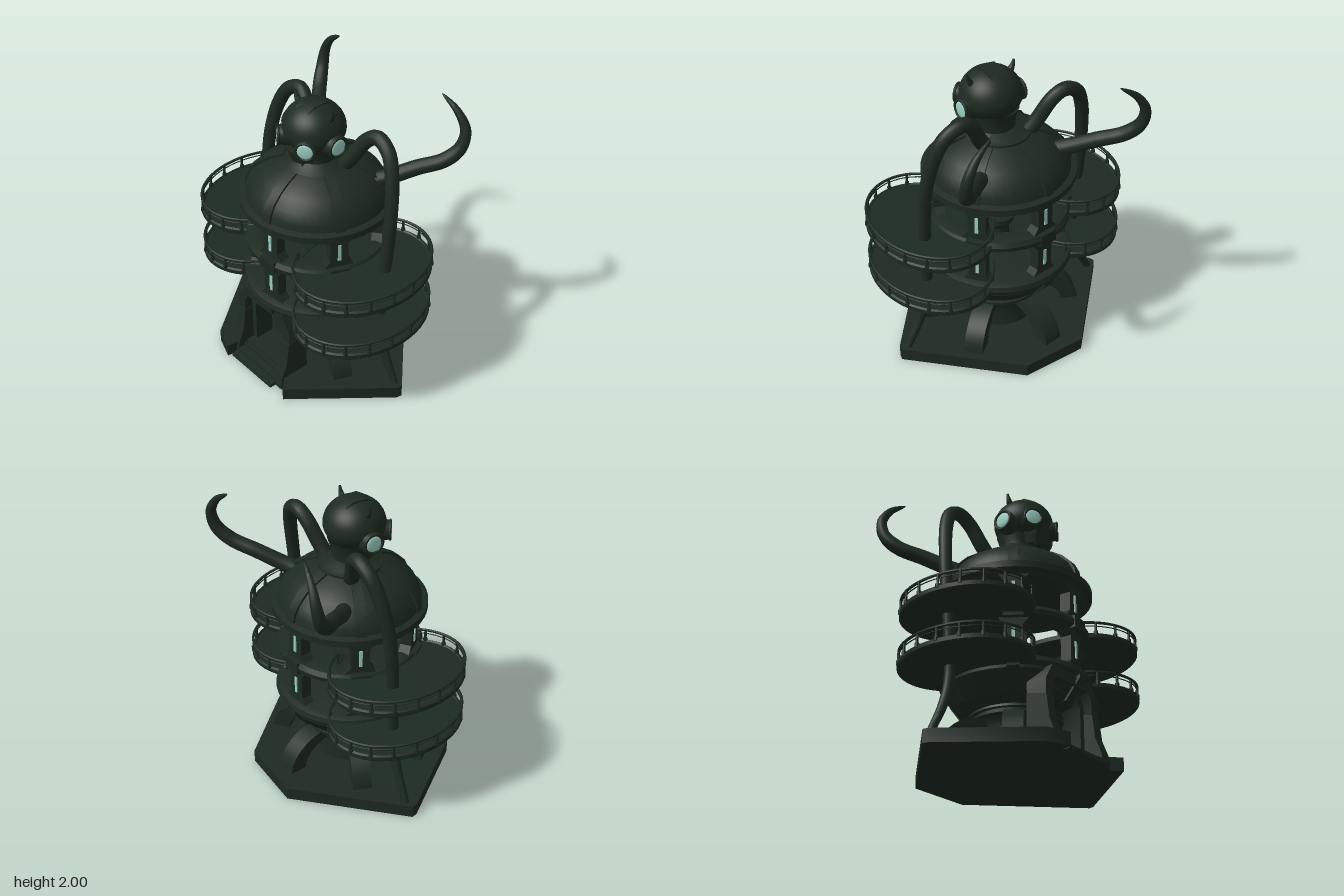
import * as THREE from 'three';
import { toCreasedNormals } from 'three/addons/utils/BufferGeometryUtils.js';

const bronze = new THREE.MeshStandardMaterial({ color: 0x1d2a21, side: THREE.DoubleSide });
bronze.name = 'dark green metal';
const glass = new THREE.MeshStandardMaterial({ color: 0x9ccfc2, side: THREE.DoubleSide });
glass.name = 'pale mint glass';

const V2 = (p) => p.map(([x, y]) => new THREE.Vector2(x, y));
const V3 = (p) => p.map((q) => new THREE.Vector3(...q));

function add(parent, name, geo, mat = bronze) {
  const m = new THREE.Mesh(toCreasedNormals(geo, 0.6), mat);
  m.name = name;
  parent.add(m);
  return m;
}
const lathe = (pts, seg = 48) => new THREE.LatheGeometry(V2(pts), seg);
const box = (w, h, d, x = 0, y = 0, z = 0) => new THREE.BoxGeometry(w, h, d).translate(x, y, z);
// Extruded outline, centred on its depth
const slab = (pts, depth) =>
  new THREE.ExtrudeGeometry(new THREE.Shape(V2(pts)), { depth, bevelEnabled: false }).translate(0, 0, -depth / 2);
// Group whose +x axis points outward at the given azimuth (0 = front)
function spoke(parent, name, az) {
  const g = new THREE.Group();
  g.name = name;
  g.rotation.y = az - Math.PI / 2;
  parent.add(g);
  return g;
}
// Round tube whose radius follows a rule along its length
function taperedTube(pts, radiusAt, n = 64, sides = 14) {
  const curve = new THREE.CatmullRomCurve3(V3(pts));
  const geo = new THREE.TubeGeometry(curve, n, 1, sides);
  const pos = geo.attributes.position, p = new THREE.Vector3();
  for (let i = 0; i <= n; i++) {
    const c = curve.getPointAt(i / n), r = radiusAt(i / n);
    for (let j = 0; j <= sides; j++) {
      const k = i * (sides + 1) + j;
      p.fromBufferAttribute(pos, k).sub(c).multiplyScalar(r).add(c);
      pos.setXYZ(k, p.x, p.y, p.z);
    }
  }
  geo.computeVertexNormals();
  return geo;
}

function buildBase(root) {
  const outline = [[-0.24, -0.62], [0.22, -0.62], [0.83, 0], [0.82, 0.04], [0.37, 0.58], [0.33, 0.63], [0.2, 0.5],
    [-0.23, 0.5], [-0.25, 0.65], [-0.41, 0.59], [-0.83, 0.04], [-0.84, 0]].map(([x, z]) => [x, -z]);
  add(root, 'basePlate', slab(outline, 0.09).rotateX(-Math.PI / 2).translate(0, 0.045, 0));
  for (let i = 0; i < 3; i++)
    add(root, 'frontStep', box(0.42, 0.025 * (i + 1), 0.06, -0.02, 0.0125 * (i + 1), 0.595 - i * 0.05));
}

function buildEntrance(root) {
  const g = new THREE.Group();
  g.name = 'entrance';
  g.position.x = -0.02;
  root.add(g);
  const arch = (w, h, t, c) => [[-w, 0.06], [-w, h - 1.6 * c], [-w + c, h], [w - c, h], [w, h - 1.6 * c], [w, 0.06],
    [w - t, 0.06], [w - t, h - 1.6 * c - t * 0.3], [w - c - t * 0.5, h - t], [c + t * 0.5 - w, h - t],
    [t - w, h - 1.6 * c - t * 0.3], [t - w, 0.06]];
  add(g, 'outerArch', slab(arch(0.27, 0.58, 0.07, 0.07), 0.15).translate(0, 0, 0.425));
  add(g, 'innerArch', slab(arch(0.21, 0.51, 0.05, 0.06), 0.14).translate(0, 0, 0.37));
  for (const s of [-1, 1]) {
    const foot = slab([[0.35, 0], [0.58, 0], [0.57, 0.09], [0.525, 0.2], [0.505, 0.36], [0.35, 0.4]], 0.075);
    add(g, 'archFoot', foot.rotateY(-Math.PI / 2).translate(s * 0.235, 0, 0));
  }
  add(g, 'porchRoof', box(0.36, 0.06, 0.2, 0, 0.545, 0.34));
  add(g, 'door', box(0.3, 0.28, 0.04, 0, 0.22, 0.27));
  add(g, 'doorWindow', box(0.025, 0.11, 0.008, 0, 0.235, 0.294), glass);
}

function buildTower(root) {
  const g = new THREE.Group();
  g.name = 'tower';
  g.position.z = 0.03;
  root.add(g);
  add(g, 'lowerDrum', lathe([[0.25, 0.06], [0.25, 0.12], [0.235, 0.2], [0.255, 0.3], [0.28, 0.335]]));
  add(g, 'neckRing', lathe([[0.28, 0.325], [0.315, 0.33], [0.315, 0.348], [0.295, 0.353], [0.295, 0.363], [0.315, 0.368],
    [0.31, 0.385], [0.27, 0.39], [0.27, 0.43], [0.38, 0.43]]));
  add(g, 'bowl', lathe([[0.26, 0.4], [0.38, 0.425], [0.4, 0.45], [0.48, 0.555], [0.48, 0.6]], 36));
  add(g, 'lowerFloorRing', lathe([[0.46, 0.575], [0.495, 0.58], [0.505, 0.6], [0.495, 0.635], [0.45, 0.65], [0, 0.65]]));
  add(g, 'middleRing', lathe([[0.36, 0.905], [0.45, 0.905], [0.485, 0.93], [0.49, 0.96], [0.47, 0.99], [0.42, 1],
    [0.36, 0.995], [0.36, 0.905]]));
  add(g, 'eavesRing', lathe([[0.36, 1.21], [0.44, 1.21], [0.47, 1.24], [0.515, 1.24], [0.515, 1.285], [0.475, 1.295]]));
  add(g, 'ceiling', lathe([[0.44, 1.225], [0, 1.24]]));
  add(g, 'pedestal', lathe([[0.12, 0.64], [0.12, 0.67], [0.07, 0.7], [0.07, 0.8], [0.1, 0.84], [0.1, 0.88], [0, 0.88]], 24));
  // Dome with a collar round its top
  const domeLine = [[0.477, 1.285], [0.467, 1.34], [0.434, 1.405], [0.375, 1.465], [0.297, 1.515], [0.21, 1.55]];
  add(g, 'dome', lathe([...domeLine, [0.21, 1.565], [0.17, 1.575], [0.13, 1.6], [0, 1.61]], 48));
  const ribLine = [...domeLine.map(([r, y]) => [r + 0.01, y + 0.01]), ...domeLine.slice().reverse().map(([r, y]) => [r - 0.02, y - 0.02])];
  // Curved buttress outline
  const outer = [], inner = [];
  for (let i = 0; i <= 10; i++) {
    const t = (i / 10) * (Math.PI / 2);
    outer.push([0.25 + 0.31 * Math.cos(t), 0.08 + 0.255 * Math.sin(t)]);
    inner.unshift([0.22 + 0.22 * Math.cos(t), 0.08 + 0.185 * Math.sin(t)]);
  }
  // Six bays: columns, light strips, dome rib, bowl rib and buttress
  for (let i = 0; i < 6; i++) {
    const bay = spoke(g, 'bay', 0.12 + (i * Math.PI) / 3);
    for (const [y0, y1] of [[0.64, 0.91], [0.99, 1.22]]) {
      const a = 0.06, b = 0.1;
      const pier = [[-b, y0], [b, y0], [a, y0 + 0.05], [a, y1 - 0.05], [b, y1], [-b, y1], [-a, y1 - 0.05], [-a, y0 + 0.05]];
      add(bay, 'column', slab(pier, 0.075).rotateY(Math.PI / 2).translate(0.415, 0, 0));
      add(bay, 'lightStrip', box(0.008, 0.12, 0.022, 0.455, (y0 + y1) / 2, 0), glass);
    }
    add(bay, 'middleRingBlock', box(0.05, 0.085, 0.13, 0.465, 0.95, 0));
    add(bay, 'bowlRib', slab([[0.36, 0.42], [0.4, 0.43], [0.5, 0.56], [0.5, 0.6], [0.44, 0.6]], 0.08));
    add(bay, 'domeRib', slab(ribLine, 0.065));
    if (i > 0) add(bay, 'buttress', slab([...outer, ...inner], 0.13));
  }
}

function buildBalcony(root, name, cx, cz, rx, rz, y) {
  const g = new THREE.Group();
  g.name = name;
  g.position.set(cx, y, cz);
  root.add(g);
  const s = Math.sign(cx);
  add(g, 'balconyFloor', lathe([[0, 0], [0.9, 0], [0.98, 0.005], [1, 0.015], [1, 0.042], [0.97, 0.05], [0.95, 0.042], [0, 0.042]], 64)
    .scale(rx, 1, rz));
  const at = (t, h, k = 0.98) => [s * rx * k * Math.cos(t), h, rz * k * Math.sin(t)];
  const reach = 2.55;
  for (const [h, r] of [[0.124, 0.01], [0.098, 0.004]]) {
    const pts = Array.from({ length: 41 }, (_, i) => at(-reach + (2 * reach * i) / 40, h));
    add(g, 'handrail', new THREE.TubeGeometry(new THREE.CatmullRomCurve3(V3(pts)), 80, r, 6));
  }
  for (let i = 0; i < 16; i++) {
    const [x, , z] = at(-reach + (2 * reach * i) / 15, 0);
    add(g, 'railPost', new THREE.CylinderGeometry(0.009, 0.009, 0.085, 8).translate(x, 0.083, z));
    add(g, 'railPostFoot', new THREE.CylinderGeometry(0.015, 0.015, 0.03, 8).translate(x, 0.045, z));
  }
}

function buildTentacles(root) {
  for (const s of [-1, 1]) {
    const side = s > 0 ? 'left' : 'right';
    const dz = s > 0 ? 0 : -0.02;
    const front = [[0.15, 1.52, -0.04], [0.22, 1.62, -0.07], [0.3, 1.76, -0.11], [0.38, 1.815, -0.13], [0.49, 1.765, -0.12],
      [0.56, 1.63, -0.09], [0.605, 1.4, -0.05], [0.615, 1.1, -0.02], [0.605, 0.8, 0], [0.605, 0.5, 0.01],
      [0.65, 0.32, 0.01], [0.77, 0.08, 0.01]];
    add(root, side + 'FrontTentacle', taperedTube(front.map(([x, y, z]) => [s * x, y, z + dz]),
      (t) => 0.052 - 0.02 * t - 0.008 * Math.max(0, t - 0.8) * 5, 80));
    const back = [[0.24, 1.4, -0.15], [0.36, 1.45, -0.26], [0.48, 1.525, -0.39], [0.6, 1.59, -0.51], [0.66, 1.68, -0.585],
      [0.665, 1.8, -0.615], [0.6, 1.91, -0.605], [0.48, 2.0, -0.58]];
    add(root, side + 'BackTentacle', taperedTube(back.map(([x, y, z]) => [s * x, y, z]),
      (t) => (t < 0.55 ? 0.055 - 0.012 * t : 0.0464 * Math.pow((1 - t) / 0.45, 0.62) + 0.002)));
  }
}

function buildHead(root) {
  const g = new THREE.Group();
  g.name = 'head';
  g.position.set(0.025, 1.82, 0.08);
  root.add(g);
  // Skull narrows toward the chin
  const skull = new THREE.SphereGeometry(0.2, 40, 28).scale(1.03, 0.9, 1.02);
  const pos = skull.attributes.position;
  for (let i = 0; i < pos.count; i++) {
    const k = 1 - Math.max(0, -pos.getY(i) - 0.03) * 0.6;
    pos.setX(i, pos.getX(i) * k);
    pos.setZ(i, pos.getZ(i) * k);
  }
  add(g, 'skull', skull);
  add(g, 'neck', lathe([[0.21, -0.265], [0.18, -0.25], [0.135, -0.22], [0.135, -0.17], [0.16, -0.09]], 32).translate(-0.01, 0, -0.025));
  add(g, 'crest', slab([[-0.1, 0.15], [0.1, 0.15], [0.05, 0.18], [-0.05, 0.18]], 0.12).rotateY(Math.PI / 2));
  add(g, 'jaw', new THREE.CylinderGeometry(0.115, 0.085, 0.09, 8).translate(0, -0.15, 0.09));
  for (const s of [-1, 1]) {
    add(g, 'fang', new THREE.ConeGeometry(0.02, 0.05, 8).rotateX(Math.PI).translate(s * 0.05, -0.2, 0.14));
    add(g, 'horn', taperedTube([[s * 0.13, 0.09, 0], [s * 0.16, 0.13, 0], [s * 0.178, 0.18, 0]], (t) => 0.03 - 0.022 * t, 12, 8));
    // A front eye and a side eye on each half
    for (const az of [0.61, Math.PI / 2]) {
      const eye = spoke(g, 'eye', s * az);
      eye.position.y = -0.05;
      const big = az > 1 ? 1.1 : 1;
      const turned = (geo, x) => geo.rotateZ(-Math.PI / 2).translate(x, 0, 0);
      add(eye, 'eyeSocket', turned(new THREE.CylinderGeometry(0.062 * big, 0.076 * big, 0.08, 24), 0.187));
      add(eye, 'eyeRim', new THREE.TorusGeometry(0.06 * big, 0.01, 10, 28).rotateY(Math.PI / 2).translate(0.228, 0, 0));
      add(eye, 'eyeLens', turned(new THREE.SphereGeometry(0.054, 24, 8, 0, Math.PI * 2, 0, Math.PI / 2).scale(1, 0.2, 1), 0.228), glass);
    }
  }
}

export function createModel() {
  const root = new THREE.Group();
  root.name = 'tentacledTower';
  buildBase(root);
  buildEntrance(root);
  buildTower(root);
  for (const y of [0.575, 0.93]) {
    buildBalcony(root, 'leftBalcony', 0.51, 0.09, 0.39, 0.5, y);
    buildBalcony(root, 'rightBalcony', -0.53, 0.055, 0.37, 0.475, y);
  }
  buildTentacles(root);
  buildHead(root);
  return root;
}
